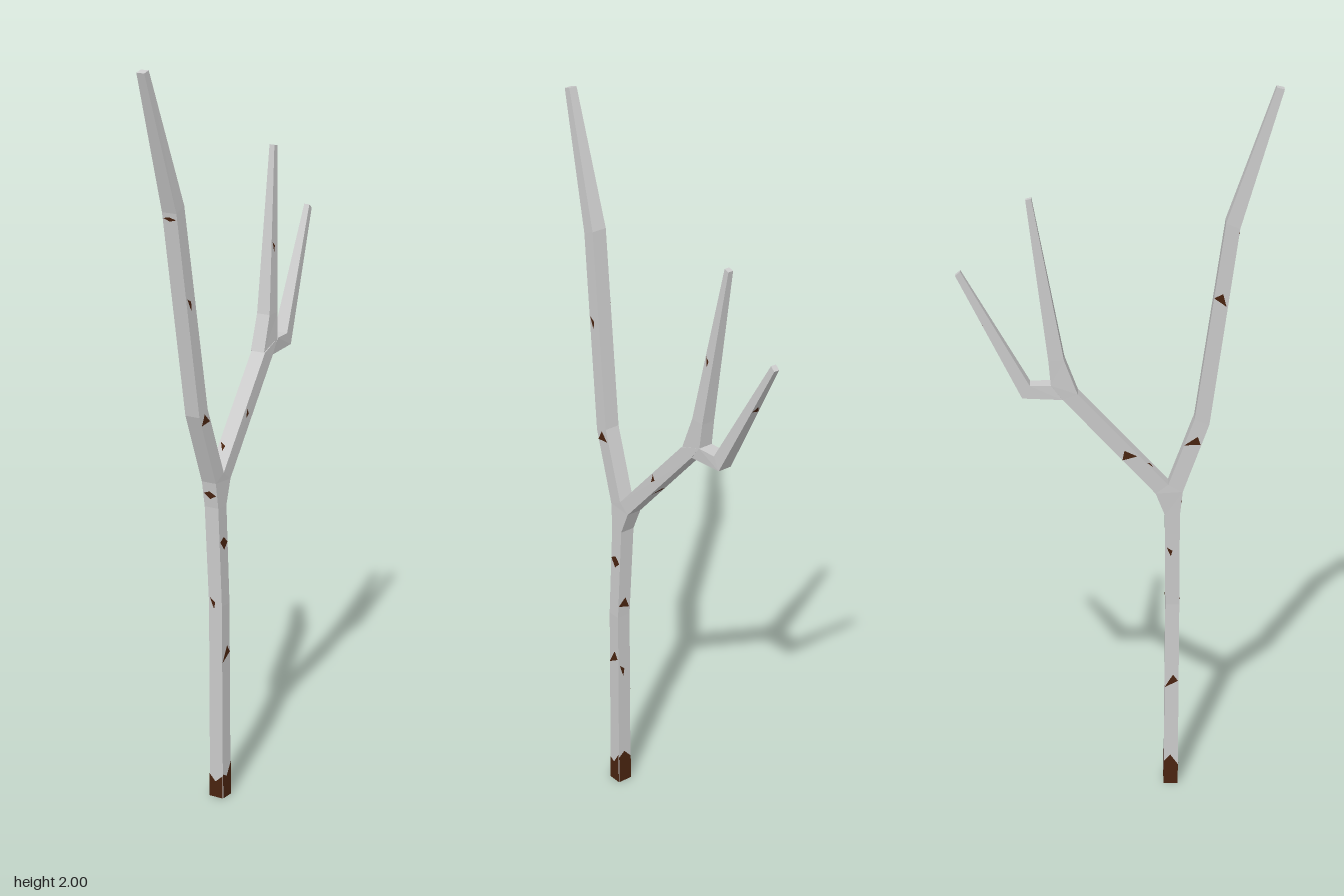
import * as THREE from 'three';

const bark = new THREE.MeshStandardMaterial({ color: 0xcccccc, flatShading: true });
const brown = new THREE.MeshStandardMaterial({ color: 0x4a2410, flatShading: true, side: THREE.DoubleSide });

// A ring is [frontZ, frontY, backZ, backY, minX, maxX]; returns its four corners
const corners = ([fz, fy, bz, by, x0, x1]) => [
  new THREE.Vector3(x1, fy, fz), new THREE.Vector3(x1, by, bz),
  new THREE.Vector3(x0, by, bz), new THREE.Vector3(x0, fy, fz),
];

function meshFrom(points, material, name) {
  const geometry = new THREE.BufferGeometry().setFromPoints(points);
  geometry.computeVertexNormals();
  const mesh = new THREE.Mesh(geometry, material);
  mesh.name = name;
  return mesh;
}

// Four-sided limb skinned through its rings, with capped ends
function limb(name, rings) {
  const c = rings.map(corners), p = [];
  const quad = (a, b, d, e) => p.push(a, b, d, a, d, e);
  for (let i = 0; i < c.length - 1; i++) {
    for (let k = 0; k < 4; k++) {
      const n = (k + 1) % 4;
      quad(c[i][k], c[i][n], c[i + 1][n], c[i + 1][k]);
    }
  }
  const s = c[0], e = c[c.length - 1];
  quad(s[3], s[2], s[1], s[0]);
  quad(e[0], e[1], e[2], e[3]);
  return meshFrom(p, bark, name);
}

// Patch lying on one side of a limb section; sides: 0 = +x, 1 = back, 2 = -x, 3 = front
// outline holds [u across 0..1, v along 0..1]
function patch(name, r0, r1, side, outline) {
  const a = corners(r0), b = corners(r1), n = (side + 1) % 4;
  const normal = b[side].clone().sub(a[side]).cross(a[n].clone().sub(a[side])).normalize().multiplyScalar(-0.0012);
  const pts = outline.map(([u, v]) =>
    a[side].clone().lerp(a[n], u).lerp(b[side].clone().lerp(b[n], u), v).add(normal));
  const tris = [];
  for (let i = 1; i < pts.length - 1; i++) tris.push(pts[0], pts[i], pts[i + 1]);
  return meshFrom(tris, brown, name);
}

export function createModel() {
  const tree = new THREE.Group();
  tree.name = 'birchTree';

  const trunk = [
    [0.166, 0, 0.127, 0, 0.004, 0.045],
    [0.166, 0.55, 0.128, 0.55, 0.003, 0.043],
    [0.165, 0.82, 0.125, 0.82, -0.010, 0.032],
    [0.172, 0.89, 0.100, 0.885, -0.014, 0.029],
  ];
  // Tall front branch
  const tall = [
    trunk[3],
    [0.172, 0.89, 0.133, 0.91, -0.014, 0.029],
    [0.240, 1.085, 0.201, 1.10, -0.020, 0.023],
    [0.311, 1.63, 0.275, 1.645, -0.040, 0.003],
    [0.416, 1.995, 0.396, 2, -0.042, -0.019],
  ];
  // Rear branch up to its fork
  const rear = [
    [0.133, 0.91, 0.100, 0.885, -0.014, 0.029],
    [-0.105, 1.175, -0.145, 1.16, -0.032, 0.010],
  ];
  // Upright rear twig
  const upright = [
    rear[1],
    [-0.105, 1.175, -0.175, 1.20, -0.034, 0.007],
    [-0.140, 1.27, -0.181, 1.27, -0.036, 0.003],
    [-0.220, 1.712, -0.235, 1.708, -0.047, -0.032],
  ];
  // Outer rear twig
  const outer = [
    [-0.175, 1.20, -0.145, 1.16, -0.034, 0.008],
    [-0.230, 1.20, -0.250, 1.165, -0.036, 0.004],
    [-0.404, 1.517, -0.417, 1.506, -0.047, -0.031],
  ];
  const limbs = { trunk, tallBranch: tall, rearBranch: rear, uprightTwig: upright, outerTwig: outer };
  for (const [name, rings] of Object.entries(limbs)) tree.add(limb(name, rings));

  // Dark jagged foot: [left, notch, right] heights on each side
  [[0.07, 0.06, 0.095], [0.085, 0.1, 0.075], [0.07, 0.09, 0.06], [0.065, 0.045, 0.065]].forEach((h, side) => {
    tree.add(patch('trunkFoot', trunk[0], trunk[1], side, [
      [0.45, h[1] / 0.55], [0, h[0] / 0.55], [0, 0], [1, 0], [1, h[2] / 0.55],
    ]));
  });

  // Bark marks: [rings, section, side, position along, height share, shape]
  const shapes = [
    [[0.0, 0.1], [0.9, -0.2], [0.55, 0.7]],
    [[0.05, 0.2], [0.5, -0.5], [0.95, 0.0], [0.5, 0.5]],
    [[0.0, -0.5], [0.95, 0.0], [0.6, 0.5]],
    [[0.1, 0.5], [0.5, 0.1], [0.4, -0.5]],
  ];
  const marks = [
    [trunk, 0, 0, 0.75, 0.08, 2], [trunk, 1, 0, 0.63, 0.13, 1],
    [trunk, 0, 1, 0.68, 0.07, 3], [trunk, 1, 1, 0.12, 0.14, 0],
    [trunk, 0, 2, 0.58, 0.07, 2], [trunk, 1, 2, 0.6, 0.1, 3],
    [trunk, 1, 3, 0.02, 0.12, 3], [trunk, 2, 3, 0.5, 0.3, 1],
    [tall, 1, 0, 0.86, 0.17, 0], [tall, 2, 0, 0.55, 0.07, 3],
    [tall, 1, 2, 0.7, 0.18, 2], [tall, 2, 2, 0.62, 0.06, 0],
    [tall, 2, 3, 0.97, 0.02, 1],
    [rear, 0, 0, 0.5, 0.07, 3], [rear, 0, 1, 0.4, 0.07, 2],
    [rear, 0, 2, 0.35, 0.1, 0], [rear, 0, 3, 0.2, 0.07, 3],
    [upright, 2, 0, 0.4, 0.06, 3], [outer, 1, 1, 0.6, 0.06, 0],
  ];
  for (const [rings, i, side, v, size, shape] of marks) {
    tree.add(patch('barkMark', rings[i], rings[i + 1], side,
      shapes[shape].map(([u, dv]) => [u, v + dv * size])));
  }
  return tree;
}
